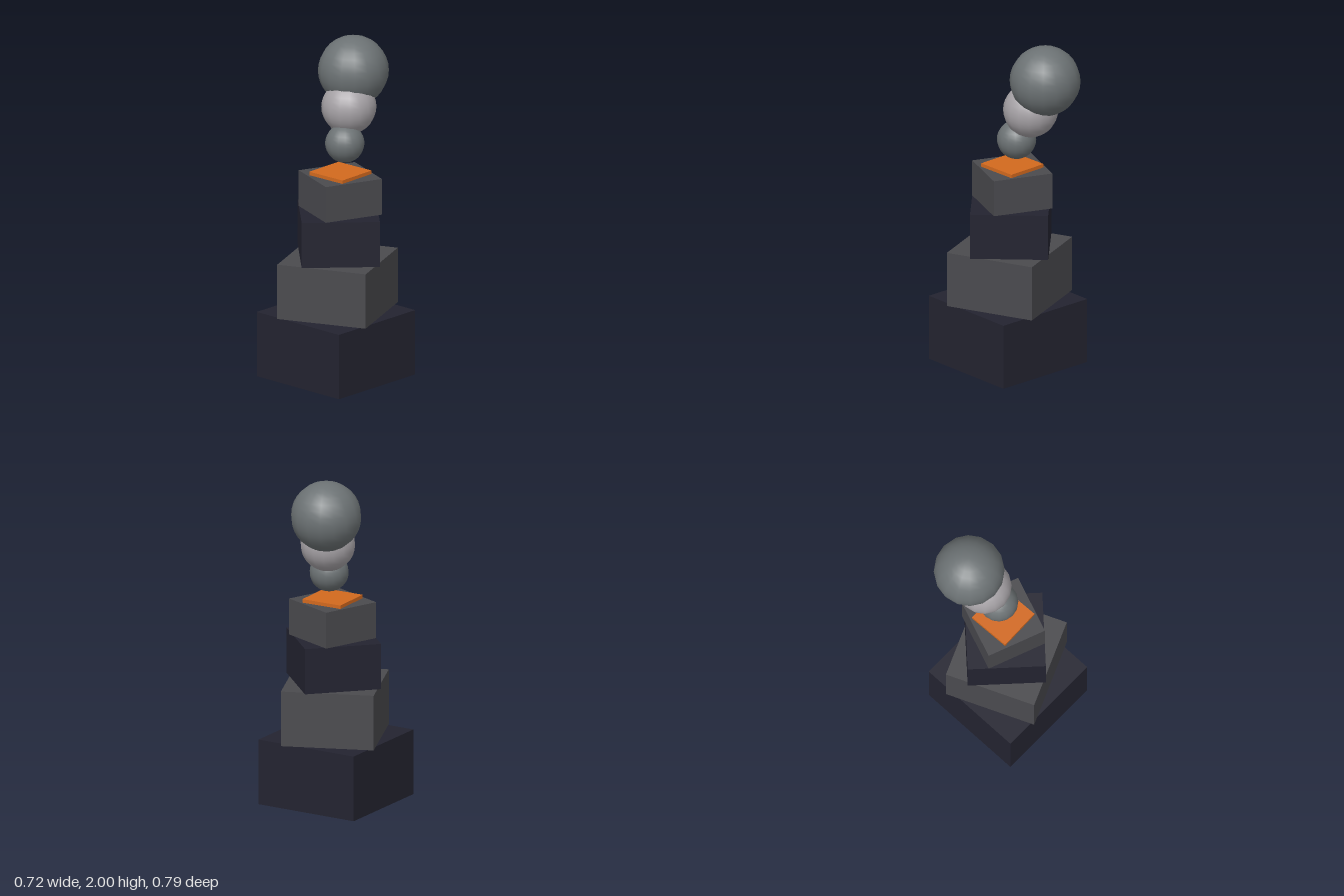
import * as THREE from 'three';

const paint = (name, color) => {
  const m = new THREE.MeshStandardMaterial({ color });
  m.name = name;
  return m;
};

export function createModel() {
  const group = new THREE.Group();
  const navy = paint('dark navy', 0x232330);
  const grey = paint('charcoal grey', 0x4a4a4e);
  const orange = paint('ember orange', 0xd2691e);
  const smoke = paint('dark smoke', 0x6c7274);
  const paleSmoke = paint('pale smoke', 0xa6a2a6);

  const add = (name, geometry, material, x, y, z) => {
    const mesh = new THREE.Mesh(geometry, material);
    mesh.name = name;
    mesh.position.set(x, y, z);
    group.add(mesh);
    return mesh;
  };

  // Tapering stack of square blocks, each twisted 0.4 rad further: width, bottom, top, z
  const blocks = [
    ['baseBlock', 0.653, 0, 0.393, 0.048, navy],
    ['lowerBlock', 0.548, 0.393, 0.725, 0.035, grey],
    ['middleBlock', 0.456, 0.725, 1.0, 0.024, navy],
    ['upperBlock', 0.363, 1.0, 1.218, 0.011, grey],
    ['glowingVent', 0.257, 1.218, 1.239, 0.01, orange],
  ];
  blocks.forEach(([name, w, y0, y1, z, material], i) => {
    const mesh = add(name, new THREE.BoxGeometry(w, y1 - y0, w), material, 0, (y0 + y1) / 2, z);
    mesh.rotation.y = 0.4 * i;
  });

  // Smoke puffs growing as they drift up and back: radius, x, y, z
  const puffs = [
    ['smallPuff', 0.115, 0, 1.402, -0.027, smoke],
    ['middlePuff', 0.161, -0.04, 1.598, -0.105, paleSmoke],
    ['largePuff', 0.207, -0.08, 1.793, -0.187, smoke],
  ];
  for (const [name, r, x, y, z, material] of puffs) {
    add(name, new THREE.SphereGeometry(r, 16, 16), material, x, y, z);
  }
  return group;
}
